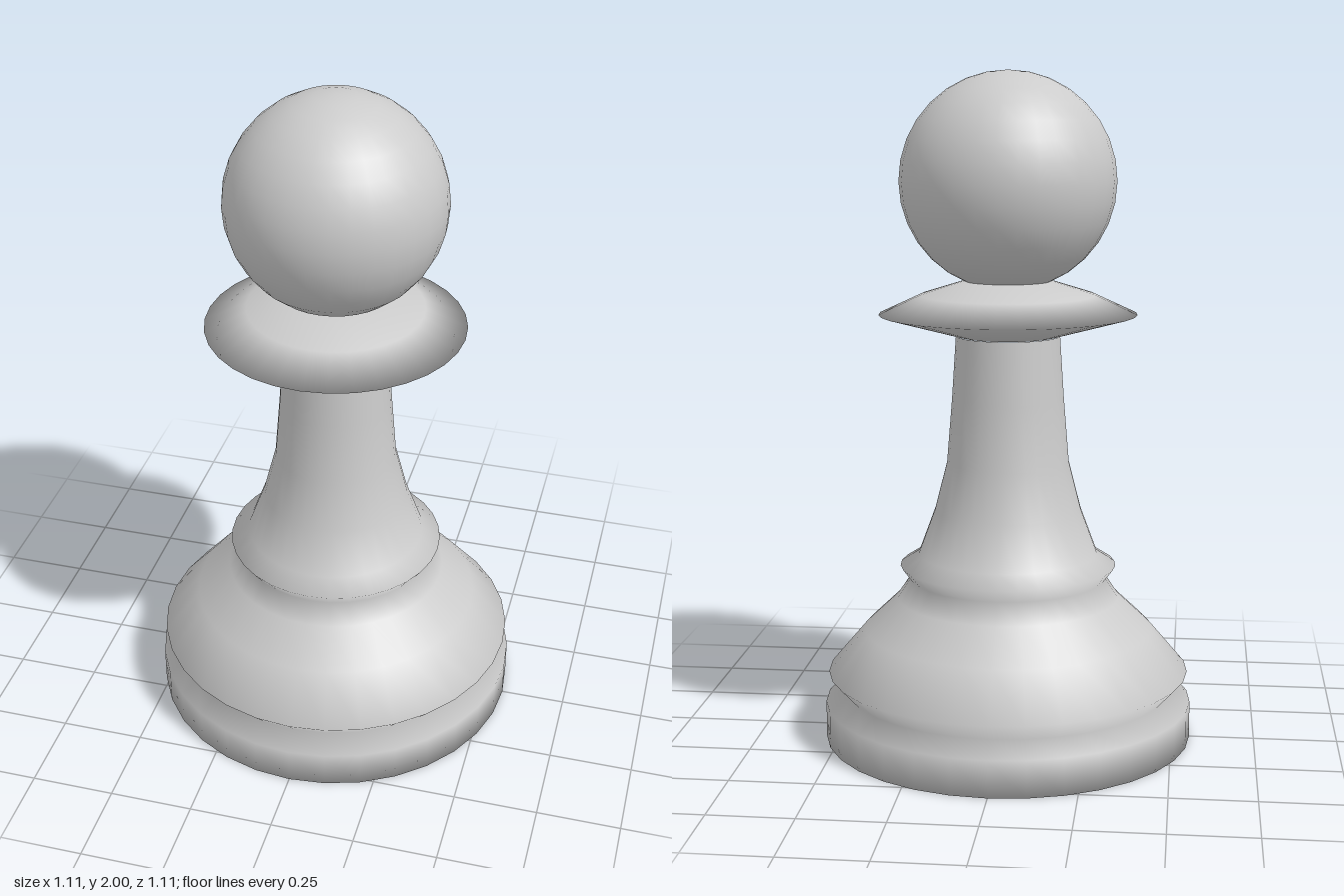
import * as THREE from 'three';

const SEGMENTS = 32;
const material = new THREE.MeshStandardMaterial({ color: 0xcccccc });

// Turns a [radius, height] profile, listed from bottom to top, around the y axis
function turned(name, profile) {
  const points = profile.map(([r, y]) => new THREE.Vector2(r, y));
  const mesh = new THREE.Mesh(new THREE.LatheGeometry(points, SEGMENTS), material);
  mesh.name = name;
  return mesh;
}

export function createModel() {
  const group = new THREE.Group();
  group.name = 'pawn';

  // Foot, groove, flared skirt, small ring and tapering stem in one smooth turning
  group.add(turned('body', [
    [0, 0], [0.555, 0], [0.555, 0.11],
    [0.495, 0.15], [0.545, 0.205],
    [0.435, 0.335], [0.335, 0.43], [0.295, 0.49],
    [0.325, 0.53], [0.27, 0.565],
    [0.22, 0.7], [0.183, 0.845], [0.167, 1.04], [0.155, 1.225],
  ]));

  // Sharp-rimmed collar under the head
  group.add(turned('collar', [
    [0.15, 1.225], [0.383, 1.29], [0.26, 1.347], [0.13, 1.388], [0, 1.388],
  ]));

  // Ball head, sunk slightly into the collar
  const head = new THREE.Mesh(new THREE.SphereGeometry(0.32, SEGMENTS, 16), material);
  head.name = 'head';
  head.position.y = 1.68;
  group.add(head);

  return group;
}
